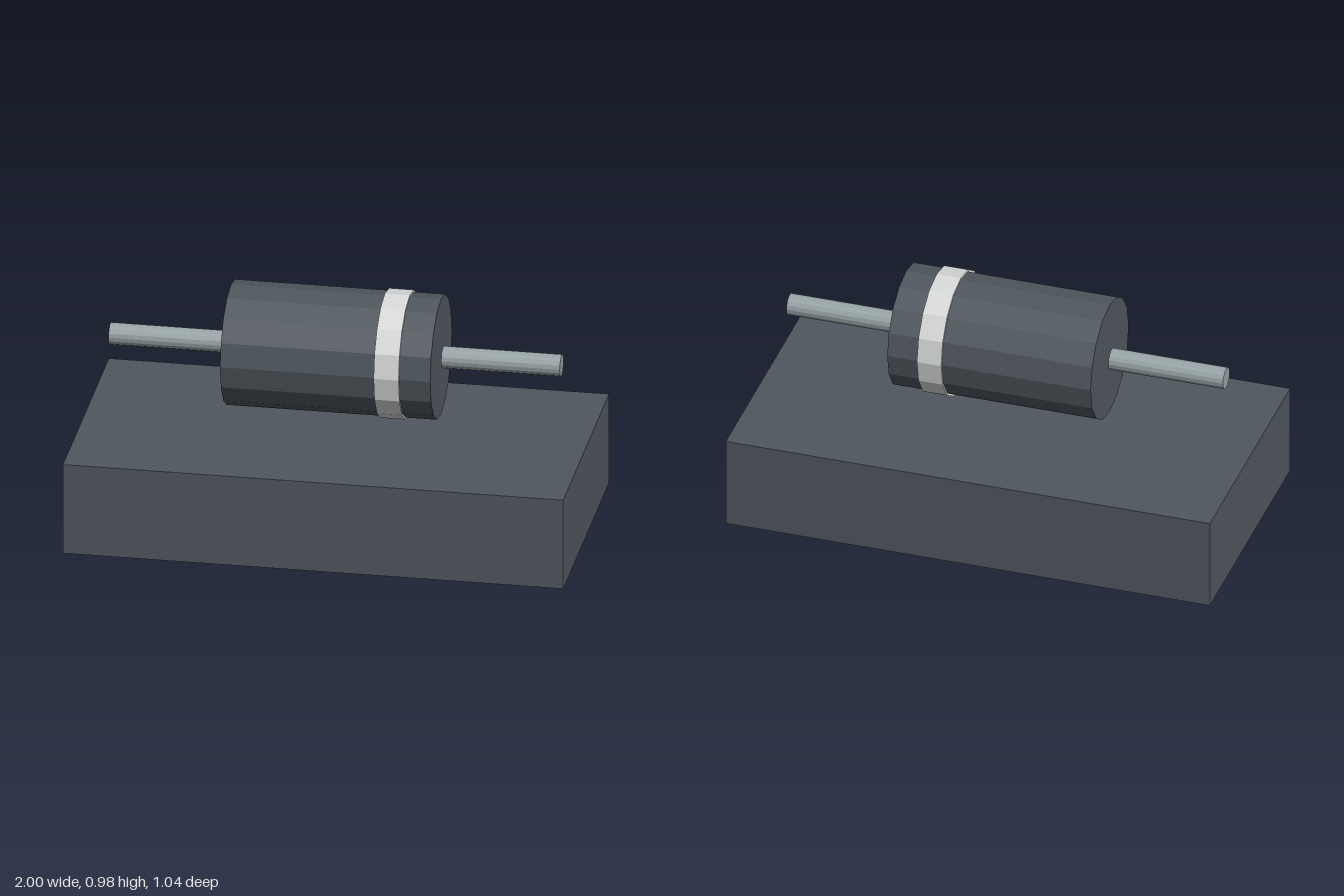
import * as THREE from 'three';

export function createModel() {
  const model = new THREE.Group();
  model.name = 'diodeOnBase';

  const mat = (name, color, flatShading) => {
    const m = new THREE.MeshStandardMaterial({ color, flatShading });
    m.name = name;
    return m;
  };
  const slate = mat('slate', 0x4f575e, true);
  const metal = mat('metal', 0x98a4a7, true);
  const paleGrey = mat('paleGrey', 0xd8dada, true);

  const axisY = 0.726;

  // Cylinder lying along x between two positions
  const rod = (name, x0, x1, radius, sides, material) => {
    const geo = new THREE.CylinderGeometry(radius, radius, x1 - x0, sides);
    geo.rotateZ(-Math.PI / 2);
    const mesh = new THREE.Mesh(geo, material);
    mesh.name = name;
    mesh.position.set((x0 + x1) / 2, axisY, 0);
    model.add(mesh);
  };

  // Base block
  const base = new THREE.Mesh(new THREE.BoxGeometry(2, 0.382, 1.045), slate);
  base.name = 'base';
  base.position.y = 0.191;
  model.add(base);

  // Component body with its marking band
  rod('body', -0.42, 0.42, 0.248, 16, slate);
  rod('band', 0.195, 0.295, 0.256, 16, paleGrey);

  // Wire leads, standing just clear of the body ends
  rod('rightLead', -0.902, -0.428, 0.044, 16, metal);
  rod('leftLead', 0.428, 0.902, 0.044, 16, metal);

  return model;
}
